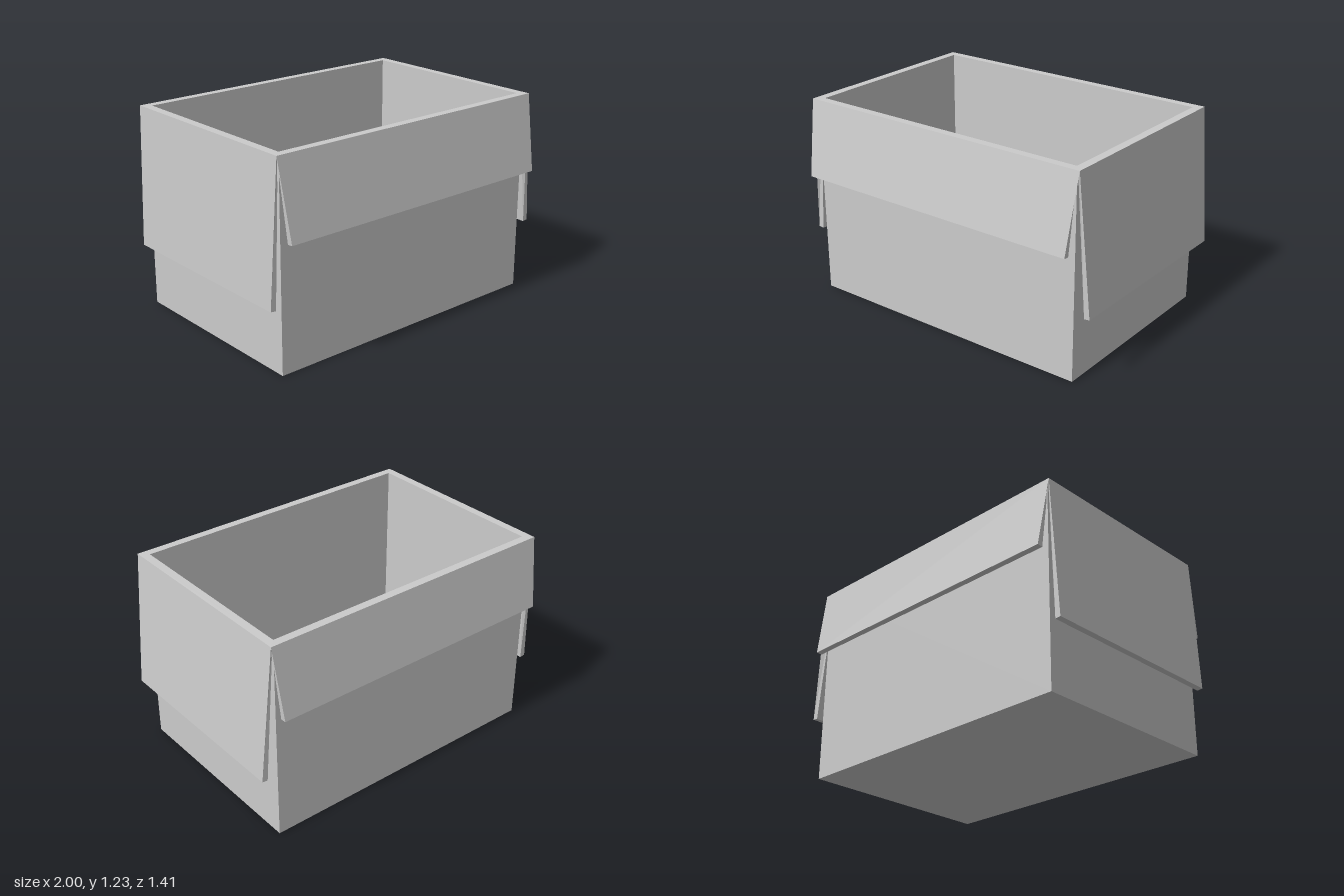
import * as THREE from 'three';

const material = new THREE.MeshStandardMaterial({ color: 0xcccccc, flatShading: true });

const HEIGHT = 1.226;
const FLOOR = 0.024;
const BODY = { x: 0.917, z: 0.615 }; // half sizes of the outer walls
const HOLE = { x: 0.893, z: 0.583 }; // half sizes of the opening
const RIM = { x: 0.943, z: 0.632 }; // half sizes at the fold line of the flaps
const THICK = 0.034;

function rectangle(path, hx, hz) {
  path.moveTo(-hx, -hz);
  path.lineTo(hx, -hz);
  path.lineTo(hx, hz);
  path.lineTo(-hx, hz);
  path.closePath();
  return path;
}

// Tapered slab hanging outwards from the rim; angle turns it to its side of the box
function flap(name, angle, topHalf, bottomHalf, topOut, bottomOut, bottomY) {
  const geometry = new THREE.BoxGeometry(1, 1, 1);
  const p = geometry.attributes.position;
  const c = Math.cos(angle), s = Math.sin(angle);
  for (let i = 0; i < p.count; i++) {
    const top = p.getY(i) > 0;
    const inset = p.getZ(i) > 0 ? 0 : THICK;
    const half = top ? topHalf - inset : bottomHalf;
    const u = Math.sign(p.getX(i)) * half;
    const w = (top ? topOut : bottomOut) - inset;
    p.setXYZ(i, u * c + w * s, top ? HEIGHT : bottomY - inset * 0.1, -u * s + w * c);
  }
  geometry.computeVertexNormals();
  const mesh = new THREE.Mesh(geometry, material);
  mesh.name = name;
  return mesh;
}

export function createModel() {
  const group = new THREE.Group();
  group.name = 'openBox';

  // Four walls as one extruded frame
  const frame = rectangle(new THREE.Shape(), BODY.x, BODY.z);
  frame.holes.push(rectangle(new THREE.Path(), HOLE.x, HOLE.z));
  const wallGeometry = new THREE.ExtrudeGeometry(frame, { depth: HEIGHT, bevelEnabled: false });
  wallGeometry.rotateX(-Math.PI / 2);
  const walls = new THREE.Mesh(wallGeometry, material);
  walls.name = 'walls';

  // Bottom panel
  const floor = new THREE.Mesh(new THREE.BoxGeometry(HOLE.x * 2, FLOOR, HOLE.z * 2), material);
  floor.position.y = FLOOR / 2;
  floor.name = 'floor';

  // Folded-down flaps: the short sides carry the longer ones
  const q = Math.PI / 2;
  group.add(
    walls,
    floor,
    flap('frontFlap', 0, RIM.x, BODY.x, RIM.z, 0.712, 0.768),
    flap('leftFlap', q, RIM.z, 0.613, RIM.x, 1.015, 0.406),
    flap('backFlap', 2 * q, RIM.x, BODY.x, RIM.z, 0.698, 0.8),
    flap('rightFlap', -q, RIM.z, 0.613, RIM.x, 0.985, 0.39),
  );

  // The flaps hang unevenly, so the body sits slightly off centre
  for (const part of group.children) {
    part.position.x -= 0.015;
    part.position.z -= 0.007;
  }
  return group;
}
